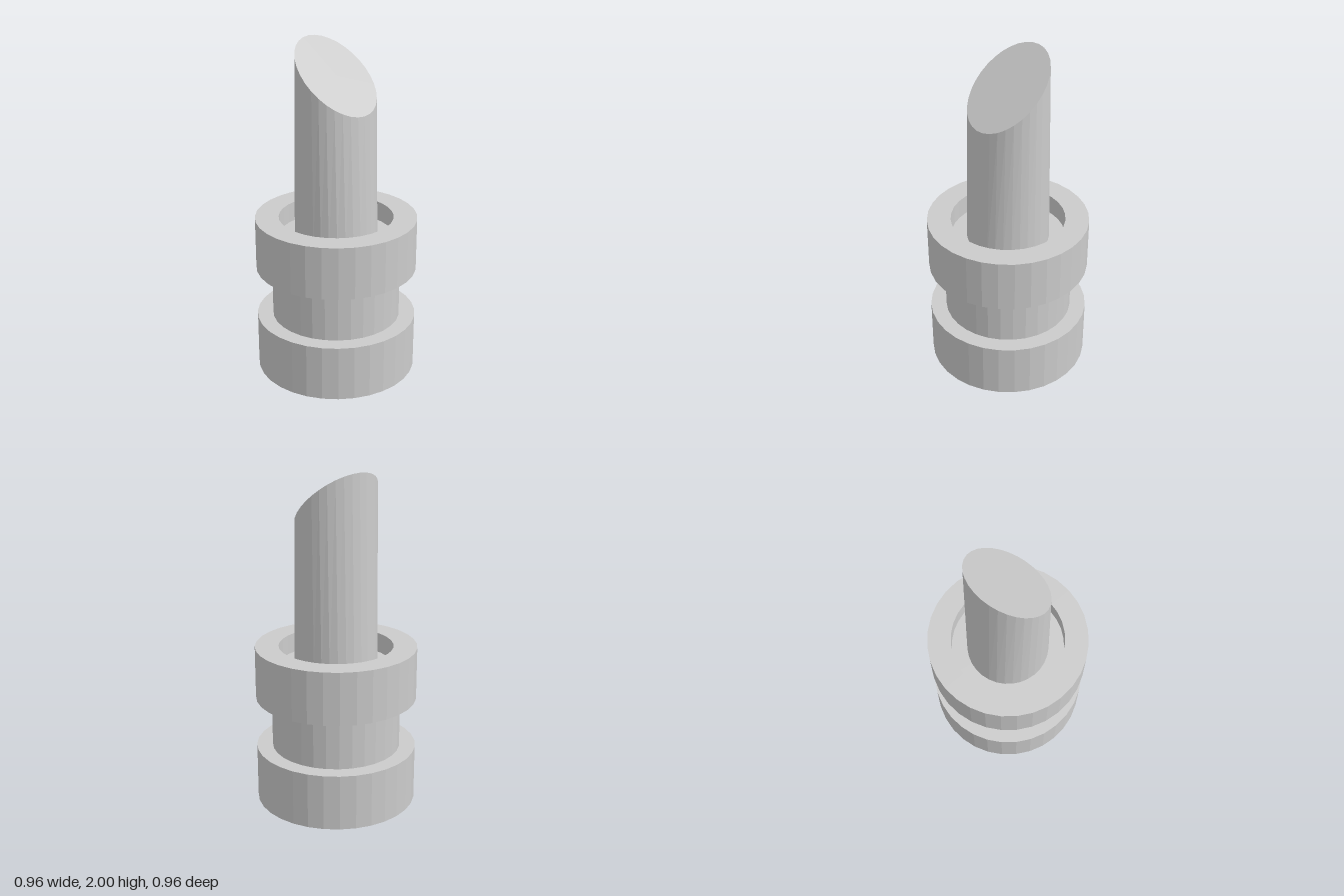
import * as THREE from 'three';

const SIDES = 32;

export function createModel() {
  const model = new THREE.Group();
  const material = new THREE.MeshStandardMaterial({ color: 0xcccccc, flatShading: true });

  // Turned body: base, neck, chamfered collar and recessed socket
  const profile = [
    [0, 0], [0.48, 0], [0.48, 0.335],
    [0.385, 0.335], [0.385, 0.615],
    [0.48, 0.645], [0.48, 0.96],
    [0.34, 0.96], [0.34, 0.84], [0, 0.84],
  ].map(([r, y]) => new THREE.Vector2(r, y));
  const body = new THREE.Mesh(new THREE.LatheGeometry(profile, SIDES), material);
  body.name = 'body';
  model.add(body);

  // Stem: cylinder whose top is narrowed in x and cut on a slant
  const floorY = 0.84;
  const stemGeometry = new THREE.CylinderGeometry(0.246, 0.246, 1, SIDES);
  const pos = stemGeometry.attributes.position;
  for (let i = 0; i < pos.count; i++) {
    if (pos.getY(i) > 0) {
      const x = pos.getX(i) * 0.88;
      pos.setXYZ(i, x, 1.805 - 0.9 * x, pos.getZ(i));
    } else {
      pos.setY(i, floorY);
    }
  }
  stemGeometry.computeVertexNormals();
  const stem = new THREE.Mesh(stemGeometry, material);
  stem.name = 'slantedStem';
  model.add(stem);

  return model;
}
